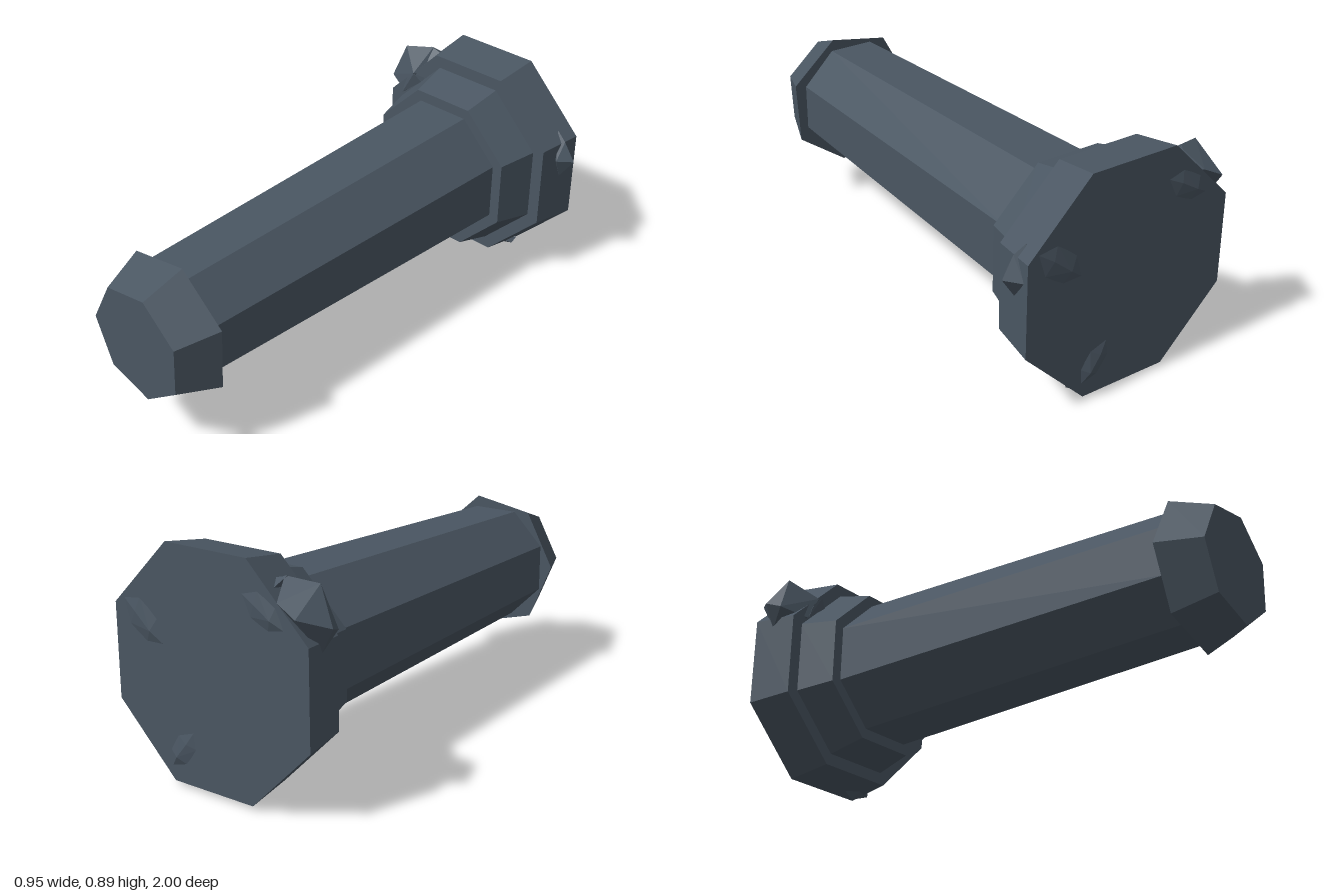
import * as THREE from 'three';
import { ConvexGeometry } from 'three/addons/geometries/ConvexGeometry.js';

const CX = -0.008, CY = 0.452;

export function createModel() {
  const group = new THREE.Group();
  const stone = new THREE.MeshStandardMaterial({ color: 0x4a5662, flatShading: true });
  stone.name = 'slate stone';

  const add = (name, geometry) => {
    const mesh = new THREE.Mesh(geometry, stone);
    mesh.name = name;
    group.add(mesh);
  };

  // Tapered prism lying along z, radii measured to the corners
  const prism = (name, sides, start, rBack, rFront, zBack, zFront, x = CX, y = CY) => {
    const g = new THREE.CylinderGeometry(rFront, rBack, zFront - zBack, sides, 1, false, start);
    g.rotateX(Math.PI / 2);
    g.translate(x, y, (zBack + zFront) / 2);
    add(name, g);
  };

  // Octagonal base, step and shaft, given by their flat half-widths
  const flat = Math.cos(Math.PI / 8);
  const octagon = (name, aBack, aFront, zBack, zFront) =>
    prism(name, 8, Math.PI / 8, aBack / flat, aFront / flat, zBack, zFront);
  octagon('base', 0.4335, 0.406, -0.983, -0.797);
  octagon('baseStep', 0.357, 0.318, -0.8, -0.64);
  octagon('shaft', 0.275, 0.2275, -0.645, 0.84);

  // Seven-sided head, slightly twisted against the shaft
  prism('head', 7, THREE.MathUtils.degToRad(112.8), 0.291, 0.225, 0.835, 1, 0, 0.447);

  // Rock chips stuck to the base
  const chip = (name, points) =>
    add(name, new ConvexGeometry(points.map((p) => new THREE.Vector3(...p))));

  chip('largeRock', [
    [-0.475, 0.68, -0.9], [-0.395, 0.808, -0.86], [-0.28, 0.825, -0.9], [-0.425, 0.585, -0.9],
    [-0.4, 0.72, -0.998], [-0.32, 0.76, -0.99], [-0.45, 0.66, -0.84], [-0.34, 0.635, -0.79],
    [-0.29, 0.74, -0.785], [-0.24, 0.72, -0.86],
  ]);
  chip('largeRockSpur', [
    [-0.29, 0.825, -0.9], [-0.235, 0.81, -0.9], [-0.27, 0.77, -0.85], [-0.27, 0.79, -0.95],
  ]);
  chip('largeRockShard', [
    [-0.345, 0.632, -0.78], [-0.32, 0.7, -0.78], [-0.28, 0.745, -0.775],
    [-0.235, 0.73, -0.8], [-0.25, 0.71, -0.79], [-0.3, 0.68, -0.83],
  ]);
  chip('sideRock', [
    [0.38, 0.668, -0.915], [0.425, 0.635, -0.905], [0.473, 0.558, -0.91], [0.415, 0.475, -0.9],
    [0.42, 0.56, -0.862], [0.42, 0.55, -0.96], [0.36, 0.56, -0.91],
  ]);
  chip('bottomRock', [
    [0.07, 0.028, -0.93], [0.118, 0, -0.93], [0.195, 0.028, -0.92], [0.21, 0.06, -0.93],
    [0.13, 0.04, -0.89], [0.14, 0.03, -0.975], [0.12, 0.1, -0.94],
  ]);

  // Shallow chips on the back face: centre, direction and half-length
  const bumps = [[0.29, 0.585, 0.75, 0.115], [0.13, 0.145, 2.3, 0.09], [-0.255, 0.715, 0.6, 0.1]];
  for (const [x, y, angle, r] of bumps) {
    const c = Math.cos(angle), s = Math.sin(angle);
    const at = (u, v, z) => [x + (u * c - v * s) * r, y + (u * s + v * c) * r, z];
    chip('backChip', [
      at(-1, 0.1, -0.982), at(-0.3, 0.5, -0.984), at(0.6, 0.45, -0.982), at(1, -0.1, -0.983),
      at(0.3, -0.5, -0.984), at(-0.5, -0.4, -0.982), at(-0.4, 0.05, -0.996), at(0.4, 0, -0.992),
      at(0, 0, -0.95),
    ]);
  }

  return group;
}
